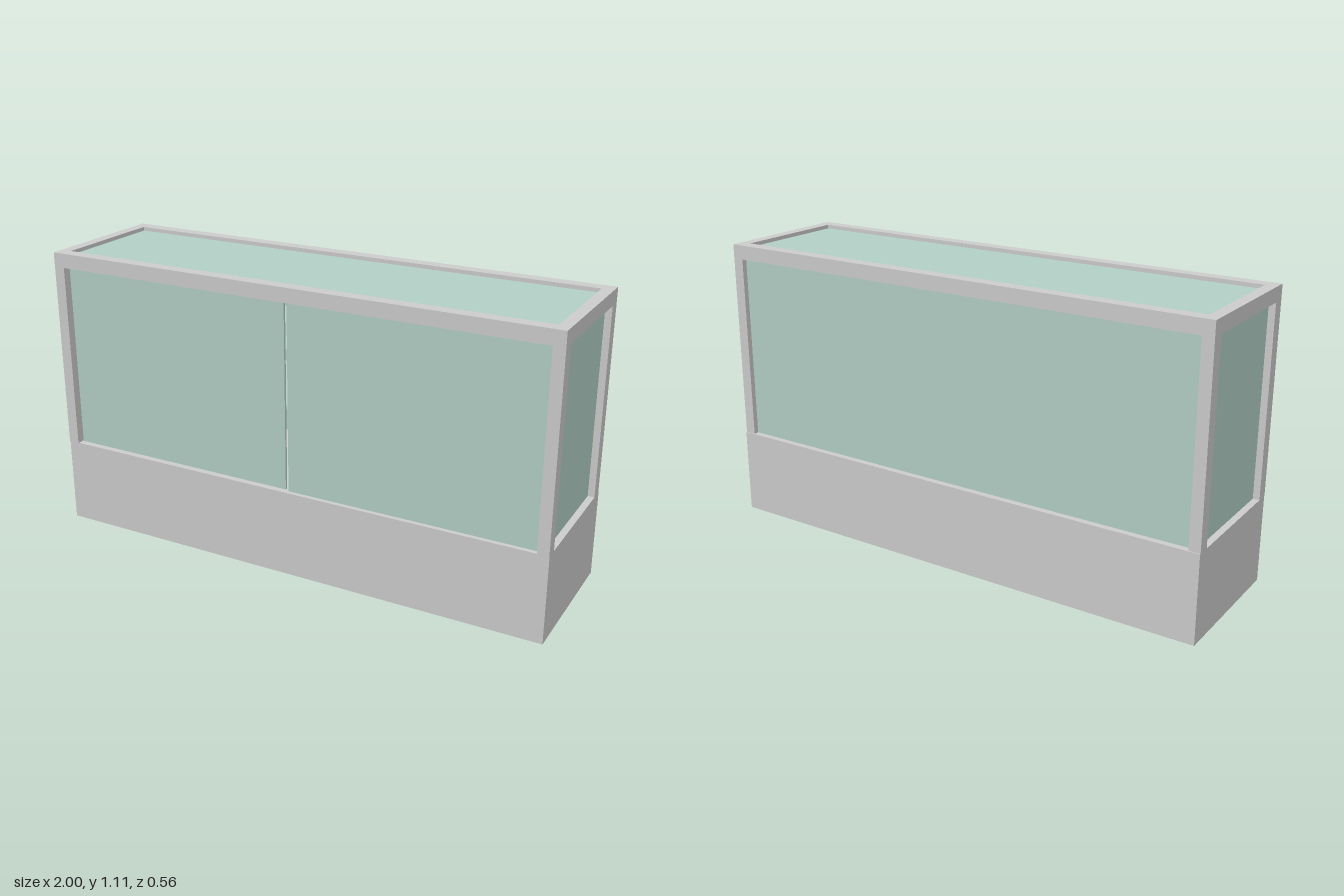
import * as THREE from 'three';

export function createModel() {
  const model = new THREE.Group();
  model.name = 'displayCounter';
  const grey = new THREE.MeshStandardMaterial({ color: 0xcccccc });
  const glass = new THREE.MeshStandardMaterial({ color: 0xb2cec4 });

  // Box given by its extents on each axis
  const box = (name, material, [x0, x1], [y0, y1], [z0, z1], parent = model) => {
    const mesh = new THREE.Mesh(new THREE.BoxGeometry(x1 - x0, y1 - y0, z1 - z0), material);
    mesh.position.set((x0 + x1) / 2, (y0 + y1) / 2, (z0 + z1) / 2);
    mesh.name = name;
    parent.add(mesh);
  };

  const baseTop = 0.335, top = 1.11, railBottom = 1.055;
  const postX = 0.043, postZ = 0.048, innerX = 1 - postX;
  const front = 0.279, back = -0.275;
  const innerFront = front - postZ, innerBack = back + postZ;

  // Solid cabinet base, set a hair behind the frame
  box('base', grey, [-1, 1], [0, baseTop], [-0.279, 0.276]);

  // Frame: corner posts, long rails and end rails
  const frame = new THREE.Group();
  frame.name = 'frame';
  model.add(frame);
  for (const [z0, z1] of [[innerFront, front], [back, innerBack]]) {
    box('longRail', grey, [-1, 1], [railBottom, top], [z0, z1], frame);
    for (const x of [-1, innerX]) {
      box('cornerPost', grey, [x, x + postX], [baseTop, railBottom], [z0, z1], frame);
    }
  }
  for (const x of [-1, innerX]) {
    box('endRail', grey, [x, x + postX], [railBottom, top], [innerBack, innerFront], frame);
  }

  // Front sliding panes on two tracks, with a narrow gap between them
  box('frontPaneRight', glass, [-innerX + 0.004, -0.012], [baseTop, 1.053], [front - 0.038, front - 0.028]);
  box('frontPaneLeft', glass, [0.004, innerX - 0.004], [baseTop, 1.053], [front - 0.03, front - 0.02]);

  // Back, end and top panes
  box('backPane', glass, [-innerX, innerX], [baseTop, 1.053], [back + 0.02, back + 0.03]);
  for (const s of [-1, 1]) {
    const x = s * 0.97;
    box('endPane', glass, [x - 0.005, x + 0.005], [baseTop, 1.05], [innerBack, innerFront]);
  }
  box('topPane', glass, [-innerX, innerX], [1.083, 1.095], [innerBack, innerFront]);

  // Interior shelves
  for (const y of [0.635, 0.862]) {
    box('shelf', glass, [-innerX, innerX], [y, y + 0.008], [innerBack, innerFront]);
  }

  return model;
}
